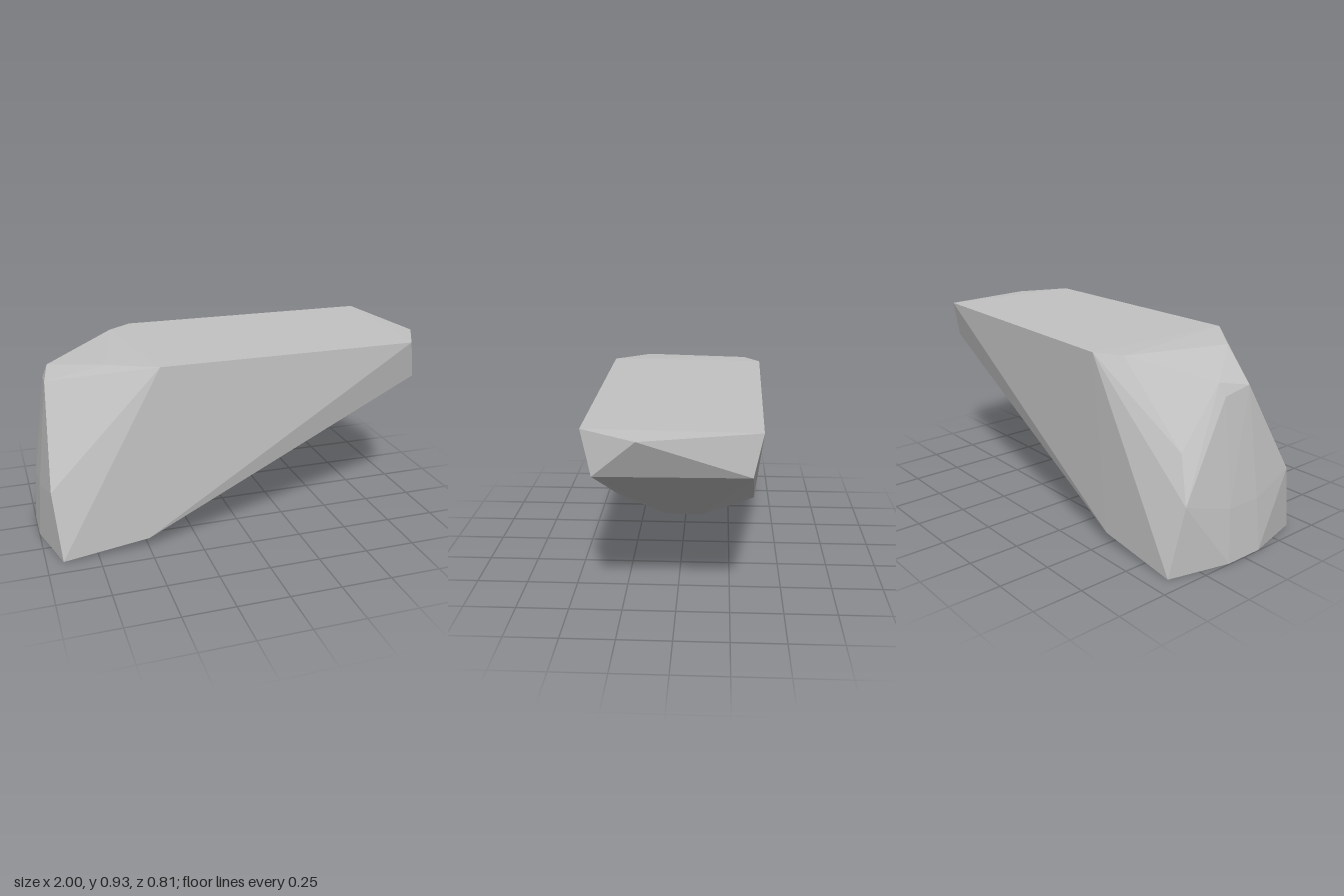
import * as THREE from 'three';
import { ConvexGeometry } from 'three/addons/geometries/ConvexGeometry.js';

const stone = new THREE.MeshStandardMaterial({ color: 0xc3c3c3, flatShading: true });
stone.name = 'grey stone';

const v = (x, y, z) => new THREE.Vector3(x, y, z);
// A pair of corners on the two long sides
const pair = (x, y, z) => [v(x, y, z), v(x, y, -z)];

export function createModel() {
  const corners = [
    // Underside: short foot, then the start of the overhang
    ...pair(-0.92, 0, 0.405),
    ...pair(-1, 0.003, 0.1),
    ...pair(-0.5, 0.057, 0.405),
    ...pair(-0.22, 0.064, 0.103),

    // Blunt end, bulging slightly outward
    ...pair(-0.947, 0.335, 0.335),
    ...pair(-0.978, 0.265, 0.09),
    v(-0.87, 0.55, -0.295),

    // Bevelled top corner over the blunt end
    v(-0.912, 0.797, 0.07),
    v(-0.908, 0.77, -0.075),
    v(-0.88, 0.83, -0.09),
    v(-0.64, 0.9, 0.22),
    v(-0.42, 0.92, 0.395),
    v(-0.52, 0.914, -0.325),
    v(-0.4, 0.918, -0.405),

    // Overhanging tip
    v(0.865, 0.921, 0.391),
    v(0.905, 0.925, -0.373),
    v(1, 0.912, 0.145),
    v(0.915, 0.728, 0.342),
    v(0.922, 0.735, -0.333),
  ];

  const rock = new THREE.Mesh(new ConvexGeometry(corners), stone);
  rock.name = 'rock';

  const model = new THREE.Group();
  model.name = 'overhangingRock';
  model.add(rock);
  return model;
}
